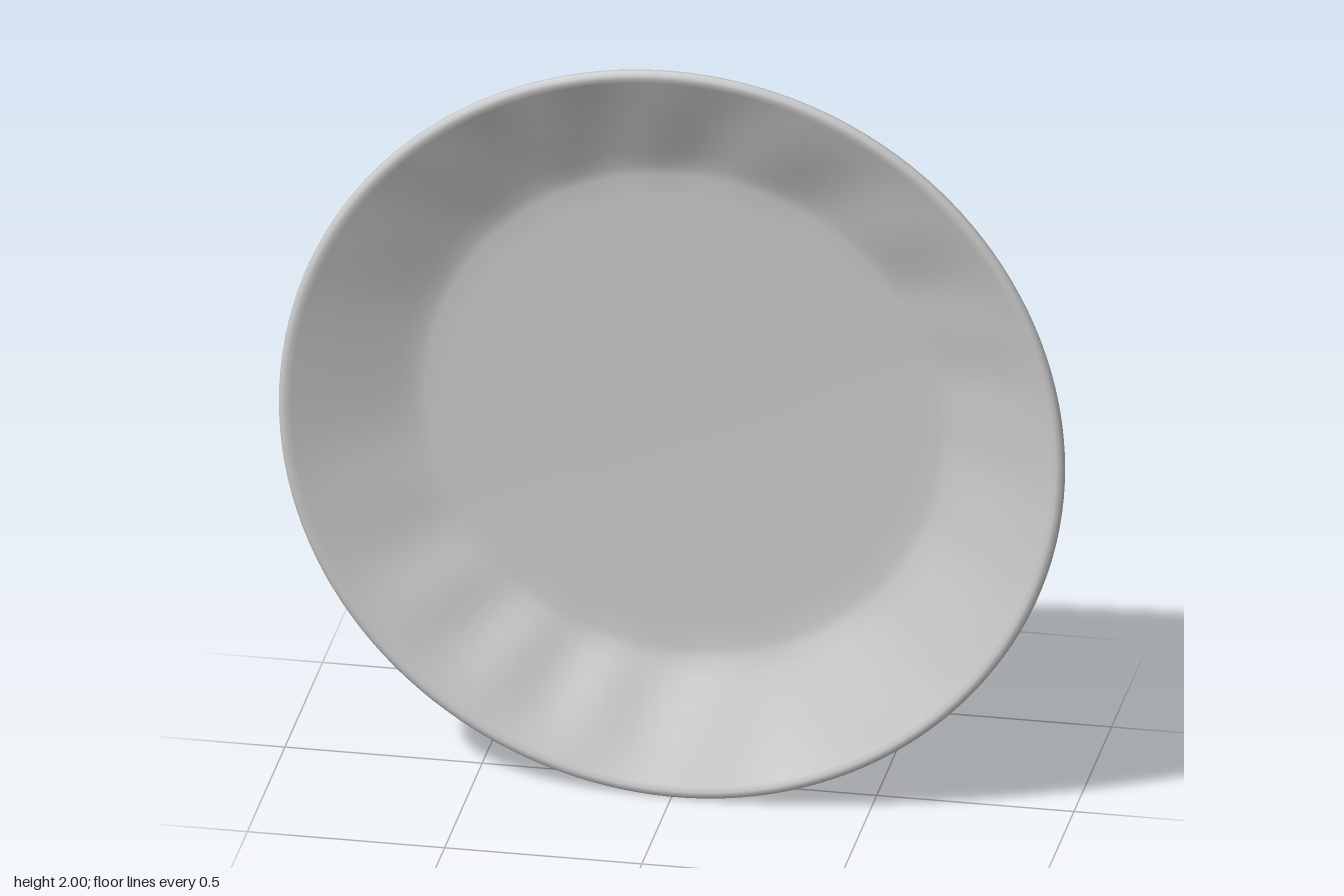
import * as THREE from 'three';
import { mergeVertices } from 'three/addons/utils/BufferGeometryUtils.js';

export function createModel() {
  const group = new THREE.Group();
  group.name = 'plate';

  // Half section (radius, depth): shallow base, foot, outer wall, rolled rim, inner wall, floor
  const profile = [
    [0, -0.094], [0.3, -0.094], [0.5, -0.095], [0.56, -0.099], [0.61, -0.109],
    [0.635, -0.116], [0.655, -0.119], [0.667, -0.113], [0.674, -0.1], [0.69, -0.086],
    [0.715, -0.07], [0.78, -0.035], [0.86, 0.007], [0.93, 0.044], [0.97, 0.068], [0.99, 0.084],
    [0.999, 0.096], [0.998, 0.104], [0.99, 0.111], [0.979, 0.112], [0.966, 0.106],
    [0.92, 0.084], [0.86, 0.056], [0.78, 0.018], [0.72, -0.01], [0.68, -0.027],
    [0.65, -0.034], [0.58, -0.037], [0.3, -0.039], [0, -0.039],
  ].map(([r, d]) => new THREE.Vector2(r, d));
  const innerStart = 20; // profile index where the inner wall begins

  let geo = new THREE.LatheGeometry(profile, 144);
  geo.rotateX(Math.PI / 2);
  const pos = geo.attributes.position;
  for (let i = 0; i < pos.count; i++) {
    const x = pos.getX(i), y = pos.getY(i);
    const r = Math.hypot(x, y), a = Math.atan2(y, x);
    let z = pos.getZ(i);
    // Soft, uneven flutes on the inner wall, strongest at top and bottom
    if (i % profile.length >= innerStart && r > 0.64) {
      const fade = Math.sin(Math.PI * THREE.MathUtils.clamp((r - 0.64) / 0.33, 0, 1));
      const strength = 0.6 - 0.4 * Math.cos(2 * a + 0.5);
      z += 0.007 * fade * strength * Math.sin(17 * a + 1.2 * Math.sin(3 * a) + 4 * (r - 0.8));
    }
    // Slight lean of the whole plate, with a faint wave in the rim
    const wave = 0.003 * Math.sin(4 * a + 0.5) * THREE.MathUtils.smoothstep(r, 0.85, 1);
    pos.setZ(i, z + 0.014 * x + wave);
  }

  // Weld the seam so the surface is smooth all round
  geo.deleteAttribute('uv');
  geo.deleteAttribute('normal');
  geo = mergeVertices(geo, 1e-5);
  geo.computeVertexNormals();

  const dish = new THREE.Mesh(geo, new THREE.MeshStandardMaterial({ color: 0xcccccc }));
  dish.name = 'dish';
  dish.position.y = 1;
  group.add(dish);
  return group;
}
